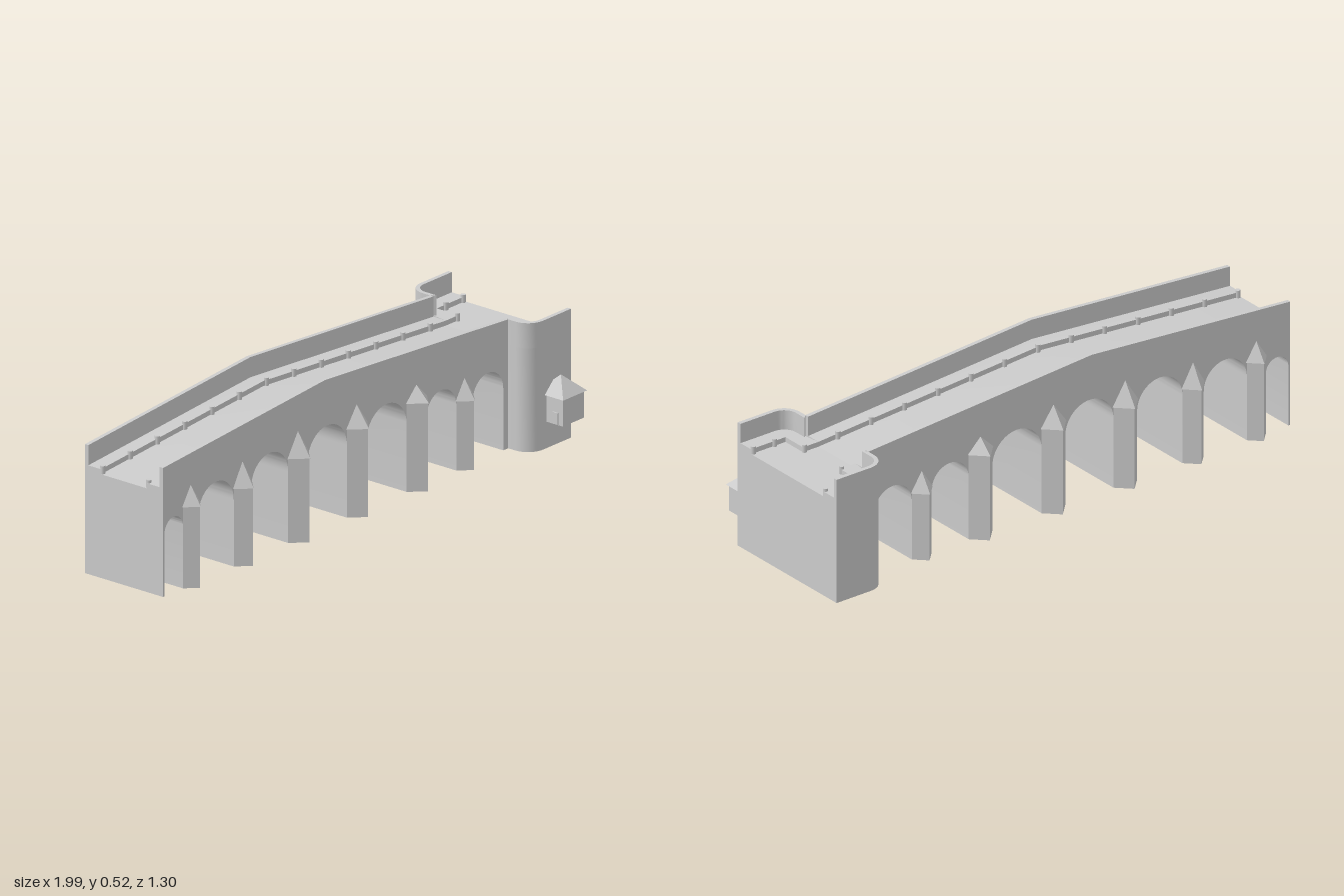
import * as THREE from 'three';
import { toCreasedNormals } from 'three/addons/utils/BufferGeometryUtils.js';

const mat = new THREE.MeshStandardMaterial({ color: 0xcccccc });

// Deck line: rises from the left end to a peak, then falls to the abutment
const LEFT = -1.045, PEAK = -0.208, JOIN = 0.735, END = 0.945;
const ROAD = 0.37, RISE = 0.065, HALF = 0.17, WING = 0.267;
const deckY = (s) => s < PEAK
  ? ROAD + RISE * (s - LEFT) / (PEAK - LEFT)
  : ROAD + RISE * Math.max(0, (JOIN - s) / (JOIN - PEAK));

function add(group, name, geometry, x = 0, y = 0, z = 0) {
  const mesh = new THREE.Mesh(geometry, mat);
  mesh.name = name;
  mesh.position.set(x, y, z);
  group.add(mesh);
  return mesh;
}

// Side elevation pushed across the bridge from z0 to z1
function sideExtrude(shape, z0, z1) {
  const g = new THREE.ExtrudeGeometry(shape, { depth: z1 - z0, bevelEnabled: false, curveSegments: 20 });
  return toCreasedNormals(g.translate(0, 0, z0), 0.5);
}

// Ground plan raised from y0 to y1
function planExtrude(shape, y0, y1) {
  const g = new THREE.ExtrudeGeometry(shape, { depth: y1 - y0, bevelEnabled: false, curveSegments: 12 });
  return toCreasedNormals(g.rotateX(-Math.PI / 2).translate(0, y0, 0), 0.5);
}

// Strip that follows the deck slope between two heights above it
function deckStrip(h0, h1, z0, z1) {
  const s = [LEFT, PEAK, JOIN];
  const low = s.map((x) => new THREE.Vector2(x, deckY(x) + h0));
  const high = s.map((x) => new THREE.Vector2(x, deckY(x) + h1)).reverse();
  return sideExtrude(new THREE.Shape([...low, ...high]), z0, z1);
}

// Rounded outer line of one abutment wing, inset by d; sign picks the side
function wingLine(sign, d = 0) {
  const pts = [new THREE.Vector2(JOIN + d, sign * (HALF - d))];
  const r = 0.065 - d, cx = JOIN + 0.065, cy = WING - 0.065;
  for (let i = 0; i <= 10; i++) {
    const a = Math.PI - (i / 10) * Math.PI / 2;
    pts.push(new THREE.Vector2(cx + r * Math.cos(a), sign * (cy + r * Math.sin(a))));
  }
  pts.push(new THREE.Vector2(END, sign * (WING - d)));
  return pts;
}

export function createModel() {
  const root = new THREE.Group();
  root.name = 'archBridge';
  const bridge = new THREE.Group();
  bridge.name = 'bridge';
  bridge.rotation.y = 0.4765;
  bridge.position.set(0.018 * Math.sin(0.4765), 0, 0.018 * Math.cos(0.4765));
  root.add(bridge);

  // Piers: position, half width, cap base, cap tip
  const piers = [
    [-0.902, 0.04, 0.29, 0.358], [-0.635, 0.045, 0.277, 0.362], [-0.349, 0.05, 0.3, 0.385],
    [-0.046, 0.05, 0.315, 0.39], [0.262, 0.05, 0.315, 0.368], [0.51, 0.042, 0.247, 0.318],
  ];
  const crowns = [0.27, 0.33, 0.35, 0.36, 0.345, 0.31, 0.3];

  // Body with round arches cut between the piers
  const body = new THREE.Shape();
  body.moveTo(LEFT, 0);
  crowns.forEach((crown, i) => {
    const a = i === 0 ? LEFT + 0.008 : piers[i - 1][0] + piers[i - 1][1];
    const b = i === 6 ? 0.71 : piers[i][0] - piers[i][1];
    const r = (b - a) / 2;
    body.lineTo(a, 0);
    body.lineTo(a, crown - r);
    body.absarc((a + b) / 2, crown - r, r, Math.PI, 0, true);
    body.lineTo(b, 0);
  });
  body.lineTo(JOIN, 0);
  body.lineTo(JOIN, ROAD);
  body.lineTo(PEAK, ROAD + RISE);
  body.lineTo(LEFT, ROAD);
  add(bridge, 'archedBody', sideExtrude(body, -HALF, HALF));

  // Abutment block with rounded wings
  const block = new THREE.Shape([...wingLine(-1), ...wingLine(1).reverse()]);
  add(bridge, 'abutment', planExtrude(block, 0, ROAD));

  const postGeo = new THREE.CylinderGeometry(0.009, 0.009, 0.03, 10);
  for (const side of [-1, 1]) {
    const span = (a, b) => (side > 0 ? [a, b] : [-b, -a]);

    // Sidewalks and parapets along the deck
    add(bridge, 'sidewalk', deckStrip(0, 0.018, ...span(0.1, HALF - 0.015)));
    add(bridge, 'parapet', deckStrip(0, 0.09, ...span(HALF - 0.015, HALF)));

    // Sidewalk and parapet around the wing
    const inner = [[END, 0.195], [0.8, 0.195], [0.8, 0.1], [JOIN, 0.1]]
      .map(([x, y]) => new THREE.Vector2(x, side * y));
    const walk = new THREE.Shape([...wingLine(side, 0.008), ...inner]);
    add(bridge, 'wingSidewalk', planExtrude(walk, ROAD, ROAD + 0.018));
    const wall = new THREE.Shape([...wingLine(side), ...wingLine(side, 0.015).reverse()]);
    add(bridge, 'wingParapet', planExtrude(wall, ROAD, ROAD + 0.09));

    // Curb posts
    for (let i = 0; i < 14; i++) {
      const s = -1.035 + i * 0.1407;
      add(bridge, 'curbPost', postGeo, s, deckY(s) + 0.013, side * 0.1);
    }
    for (const s of [0.846, 0.936]) add(bridge, 'curbPost', postGeo, s, ROAD + 0.013, side * 0.195);

    // Pointed cutwaters with pyramid caps, half sunk in the wall
    for (const [s, w, base, tip] of piers) {
      const nose = new THREE.CylinderGeometry(w, w, base, 4).toNonIndexed();
      nose.computeVertexNormals();
      add(bridge, 'cutwater', nose, s, base / 2, side * HALF);
      const cap = new THREE.ConeGeometry(w + 0.004, tip - base, 4).toNonIndexed();
      cap.computeVertexNormals();
      add(bridge, 'cutwaterCap', cap, s, (base + tip) / 2, side * HALF);
    }
  }

  // Small hut on the front wall of the abutment
  const hut = new THREE.Group();
  hut.name = 'hut';
  hut.position.set(0.871, 0, 0.285);
  bridge.add(hut);
  add(hut, 'hutWalls', new THREE.BoxGeometry(0.108, 0.1, 0.108), 0, 0.145, 0);
  const roof = new THREE.ConeGeometry(0.062 * Math.SQRT2, 0.06, 4).rotateY(Math.PI / 4).toNonIndexed();
  roof.computeVertexNormals();
  add(hut, 'hutRoof', roof, 0, 0.222, 0);
  add(hut, 'hutDoor', new THREE.BoxGeometry(0.006, 0.042, 0.026), -0.055, 0.118, 0.022);

  return root;
}
